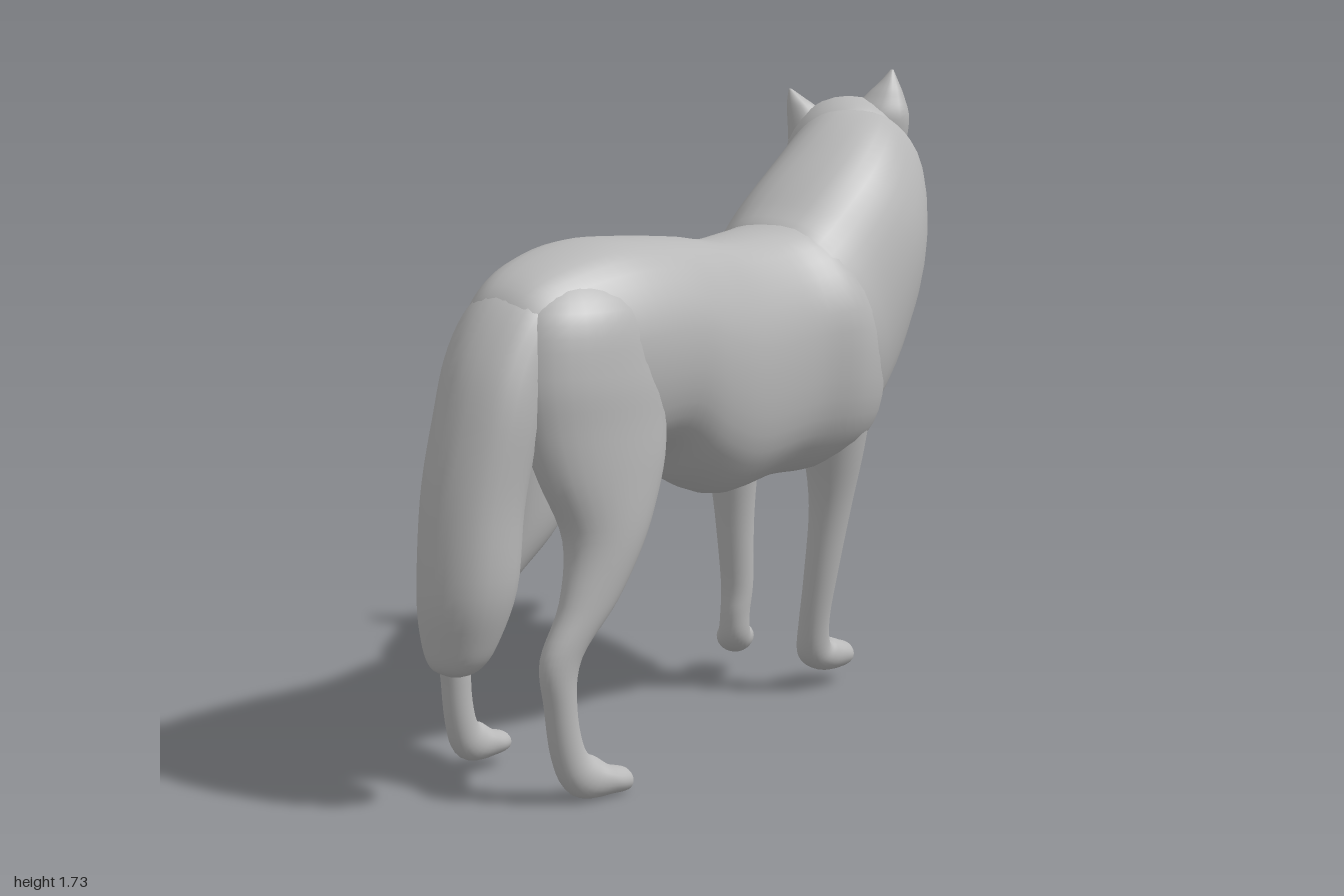
import * as THREE from 'three';

const rad = Math.PI / 180;
const fur = new THREE.MeshStandardMaterial({ color: 0xb8b8b8 });
fur.name = 'grey fur';

// Smooth interpolation of one column of the section table
function spline(rows, k, t) {
  const i = Math.min(Math.floor(t), rows.length - 2), u = t - i;
  const at = (j) => rows[Math.max(0, Math.min(rows.length - 1, j))][k];
  const p0 = at(i - 1), p1 = at(i), p2 = at(i + 1), p3 = at(i + 2);
  return p1 + 0.5 * u * (p2 - p0 + u * (2 * p0 - 5 * p1 + 4 * p2 - p3 + u * (3 * (p1 - p2) + p3 - p0)));
}

// Skin over oval sections: [x, y, z, half height, half width, tilt, yaw].
// Tilt 0 is an upright section facing forward, 90 faces down, -90 up, 180 back.
function loft(name, yaw, tilt, rows, { sides = 28, steps = 5, power = 1, ruffle = 0 } = {}) {
  const full = rows.map((r) => [...r.slice(0, 5), r[5] ?? tilt, r[6] ?? yaw]);
  const rings = (full.length - 1) * steps;
  const pos = [], index = [];
  const bend = (v) => Math.sign(v) * Math.abs(v) ** power;
  for (let i = 0; i <= rings; i++) {
    const [x, y, z, a, b, t, w] = [0, 1, 2, 3, 4, 5, 6].map((k) => spline(full, k, i / steps));
    const c = Math.cos(w * rad), s = Math.sin(w * rad);
    for (let j = 0; j < sides; j++) {
      const q = (j / sides) * Math.PI * 2;
      const wave = 1 + ruffle * Math.sin(q * 4 + i * 0.25) * Math.sin(i * 0.3 - q * 3);
      const side = Math.max(b, 0.002) * bend(Math.cos(q)) * wave;
      const up = Math.max(a, 0.002) * bend(Math.sin(q)) * wave;
      const ahead = up * Math.sin(t * rad);
      pos.push(x + side * s + ahead * c, y + up * Math.cos(t * rad), z + side * c - ahead * s);
      if (i < rings) {
        const p = i * sides + j, n = i * sides + ((j + 1) % sides);
        index.push(p, p + sides, n, n, p + sides, n + sides);
      }
    }
  }
  // Close both ends
  for (const end of [0, rings]) {
    const row = full[end ? full.length - 1 : 0], centre = pos.length / 3;
    pos.push(row[0], row[1], row[2]);
    for (let j = 0; j < sides; j++) {
      const p = end * sides + j, n = end * sides + ((j + 1) % sides);
      if (end) index.push(p, centre, n); else index.push(centre, p, n);
    }
  }
  const geo = new THREE.BufferGeometry();
  geo.setAttribute('position', new THREE.Float32BufferAttribute(pos, 3));
  geo.setIndex(index);
  geo.computeVertexNormals();
  const mesh = new THREE.Mesh(geo, fur);
  mesh.name = name;
  return mesh;
}

export function createModel() {
  const model = new THREE.Group();
  model.name = 'wolf';

  // Rump, belly and chest
  model.add(loft('torso', 15, 0, [
    [-0.83, 1.08, 0.3, 0.06, 0.06],
    [-0.78, 1.07, 0.29, 0.175, 0.13],
    [-0.68, 1.07, 0.265, 0.24, 0.19],
    [-0.5, 1.075, 0.225, 0.275, 0.225],
    [-0.3, 1.08, 0.178, 0.27, 0.23],
    [-0.15, 1.02, 0.138, 0.315, 0.222],
    [0, 0.985, 0.09, 0.335, 0.22],
    [0.2, 0.995, 0.025, 0.335, 0.24],
    [0.35, 1.0, -0.005, 0.34, 0.268],
    [0.5, 0.965, -0.055, 0.295, 0.235],
    [0.6, 0.93, -0.09, 0.205, 0.165],
    [0.66, 0.94, -0.11, 0.1, 0.09],
    [0.685, 0.95, -0.12, 0.03, 0.03],
  ], { sides: 40, power: 0.9, ruffle: 0.015 }));

  // Thick neck with its mane, turning toward the head
  model.add(loft('neckMane', 15, -20, [
    [0.24, 1.02, 0.01, 0.16, 0.15, -15],
    [0.34, 1.02, -0.01, 0.31, 0.25, -20],
    [0.46, 1.09, -0.05, 0.34, 0.268, -27, 20],
    [0.6, 1.25, -0.09, 0.302, 0.255, -33, 28],
    [0.71, 1.4, -0.145, 0.252, 0.215, -38, 38],
    [0.765, 1.48, -0.19, 0.19, 0.17, -38, 44],
    [0.785, 1.51, -0.21, 0.07, 0.07, -38, 44],
  ], { sides: 40, power: 0.95, ruffle: 0.015 }));

  // Skull, muzzle and nose
  model.add(loft('head', 47, 0, [
    [0.64, 1.48, -0.1, 0.06, 0.06],
    [0.675, 1.49, -0.135, 0.13, 0.13],
    [0.73, 1.5, -0.185, 0.16, 0.168],
    [0.78, 1.5, -0.235, 0.163, 0.175],
    [0.82, 1.485, -0.275, 0.153, 0.142],
    [0.86, 1.43, -0.32, 0.128, 0.095],
    [0.91, 1.365, -0.375, 0.087, 0.064],
    [0.955, 1.328, -0.425, 0.066, 0.047],
    [0.985, 1.315, -0.455, 0.046, 0.034],
    [0.997, 1.315, -0.468, 0.018, 0.015],
  ]));

  // Broad pointed ears
  model.add(loft('leftEar', 47, -90, [
    [0.815, 1.5, -0.165, 0.06, 0.085],
    [0.818, 1.6, -0.155, 0.06, 0.09],
    [0.837, 1.665, -0.148, 0.042, 0.056],
    [0.85, 1.705, -0.143, 0.024, 0.027],
    [0.858, 1.74, -0.14, 0.004, 0.004],
  ], { sides: 16 }));
  model.add(loft('rightEar', 47, -90, [
    [0.69, 1.48, -0.27, 0.06, 0.08],
    [0.685, 1.57, -0.285, 0.055, 0.07],
    [0.665, 1.63, -0.305, 0.035, 0.045],
    [0.652, 1.66, -0.32, 0.021, 0.024],
    [0.642, 1.685, -0.333, 0.004, 0.004],
  ], { sides: 16 }));

  // Bushy tail flowing down from the rump
  model.add(loft('tail', 15, 95, [
    [-0.56, 1.18, 0.24, 0.08, 0.1, 165],
    [-0.64, 1.19, 0.255, 0.1, 0.13, 155],
    [-0.72, 1.155, 0.275, 0.105, 0.14, 138],
    [-0.785, 1.06, 0.288, 0.11, 0.14, 117],
    [-0.825, 0.93, 0.3, 0.115, 0.135, 106],
    [-0.865, 0.75, 0.3, 0.118, 0.128, 98],
    [-0.883, 0.55, 0.3, 0.115, 0.122, 92],
    [-0.9, 0.42, 0.29, 0.085, 0.095],
    [-0.912, 0.36, 0.285, 0.055, 0.062],
    [-0.915, 0.34, 0.285, 0.015, 0.02],
  ], { ruffle: 0.015 }));

  // Hind legs: thigh, hock, pastern and paw
  model.add(loft('leftHindLeg', 8, 90, [
    [-0.57, 1.3, 0.29, 0.08, 0.05],
    [-0.57, 1.2, 0.325, 0.19, 0.12],
    [-0.565, 1.05, 0.35, 0.225, 0.122],
    [-0.555, 0.92, 0.362, 0.22, 0.11],
    [-0.545, 0.8, 0.377, 0.19, 0.094],
    [-0.545, 0.65, 0.39, 0.122, 0.078],
    [-0.605, 0.5, 0.405, 0.085, 0.055],
    [-0.69, 0.37, 0.408, 0.058, 0.042],
    [-0.69, 0.25, 0.405, 0.042, 0.038],
    [-0.665, 0.13, 0.4, 0.045, 0.04, 80],
    [-0.62, 0.068, 0.4, 0.055, 0.045, 40],
    [-0.55, 0.047, 0.396, 0.038, 0.048, 0],
    [-0.495, 0.037, 0.393, 0.029, 0.034, 0],
    [-0.483, 0.034, 0.392, 0.01, 0.012, 0],
  ]));
  model.add(loft('rightHindLeg', 20, 90, [
    [-0.53, 1.25, 0.15, 0.07, 0.05],
    [-0.53, 1.1, 0.11, 0.19, 0.11],
    [-0.53, 0.95, 0.095, 0.21, 0.105],
    [-0.535, 0.78, 0.09, 0.17, 0.088],
    [-0.575, 0.63, 0.1, 0.11, 0.062],
    [-0.675, 0.5, 0.09, 0.07, 0.048],
    [-0.765, 0.37, 0.07, 0.052, 0.04],
    [-0.765, 0.25, 0.06, 0.04, 0.036],
    [-0.745, 0.14, 0.05, 0.042, 0.038, 80],
    [-0.71, 0.09, 0.04, 0.052, 0.043, 40],
    [-0.65, 0.072, 0.025, 0.036, 0.047, 0],
    [-0.6, 0.064, 0.01, 0.025, 0.032, 0],
    [-0.588, 0.062, 0.007, 0.008, 0.012, 0],
  ]));

  // Front legs: shoulder, forearm, wrist and paw
  model.add(loft('leftFrontLeg', 20, 90, [
    [0.41, 1.18, 0.11, 0.07, 0.05],
    [0.42, 1.05, 0.1, 0.14, 0.11],
    [0.435, 0.88, 0.085, 0.14, 0.113],
    [0.462, 0.72, 0.072, 0.094, 0.084],
    [0.472, 0.55, 0.05, 0.064, 0.058],
    [0.465, 0.35, 0.02, 0.05, 0.046],
    [0.465, 0.22, -0.005, 0.046, 0.042],
    [0.485, 0.13, -0.03, 0.052, 0.047, 70],
    [0.53, 0.103, -0.045, 0.05, 0.052, 30],
    [0.59, 0.091, -0.06, 0.041, 0.054, 0],
    [0.633, 0.085, -0.075, 0.031, 0.037, 0],
    [0.643, 0.083, -0.078, 0.01, 0.012, 0],
  ]));
  model.add(loft('rightFrontLeg', 50, 90, [
    [0.38, 1.1, -0.18, 0.08, 0.05],
    [0.375, 0.98, -0.185, 0.12, 0.1],
    [0.36, 0.84, -0.195, 0.115, 0.096],
    [0.338, 0.68, -0.208, 0.08, 0.075],
    [0.35, 0.5, -0.22, 0.056, 0.056],
    [0.368, 0.3, -0.23, 0.046, 0.046],
    [0.365, 0.21, -0.235, 0.045, 0.042],
    [0.375, 0.15, -0.25, 0.05, 0.045, 70],
    [0.405, 0.125, -0.285, 0.048, 0.052, 30],
    [0.44, 0.115, -0.325, 0.039, 0.052, 0],
    [0.465, 0.11, -0.355, 0.028, 0.034, 0],
    [0.472, 0.108, -0.364, 0.009, 0.012, 0],
  ]));

  return model;
}
